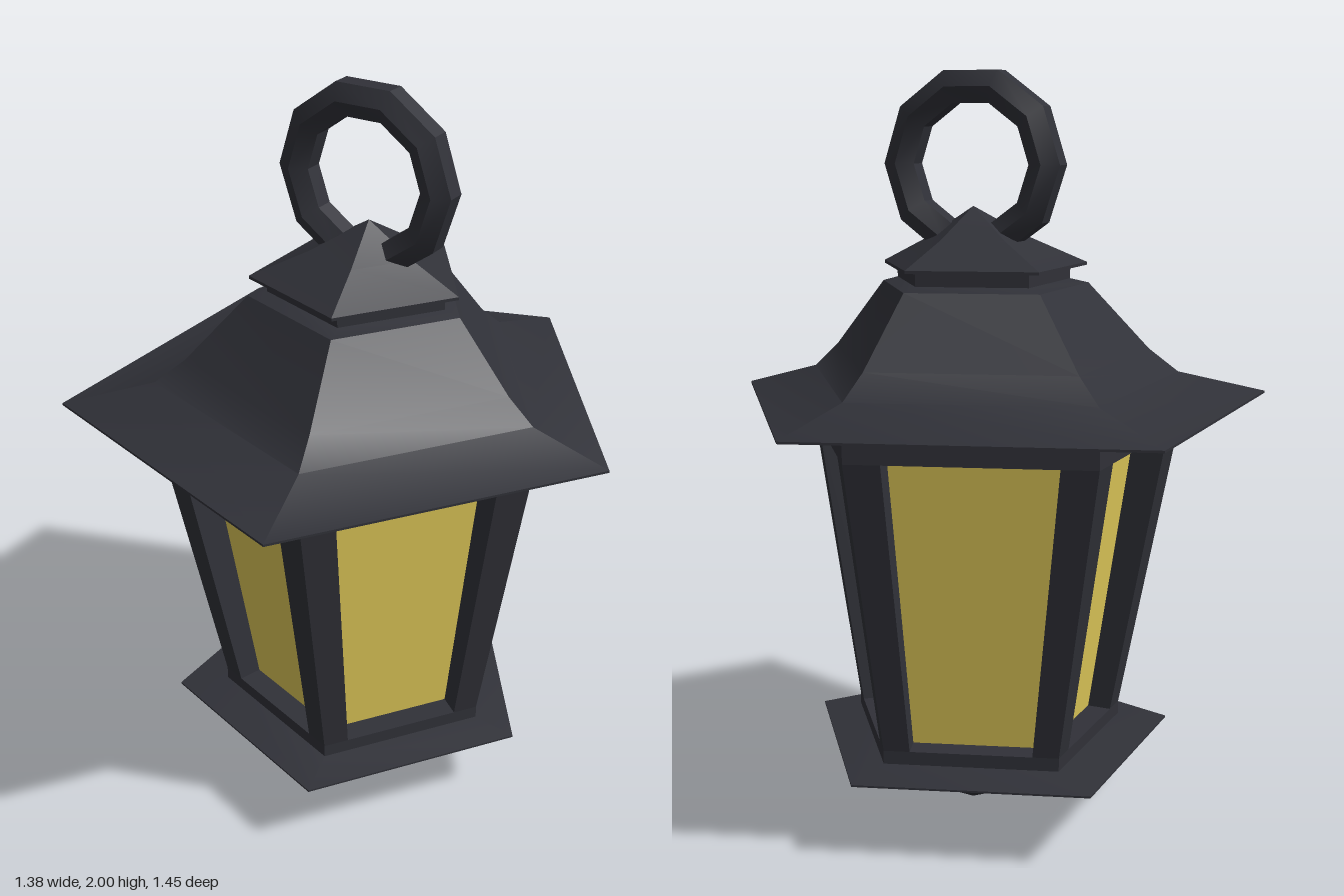
import * as THREE from 'three';
import { toCreasedNormals } from 'three/addons/utils/BufferGeometryUtils.js';

const metal = new THREE.MeshStandardMaterial({ color: 0x303138 });
metal.name = 'darkMetal';
const glass = new THREE.MeshStandardMaterial({ color: 0xe0c959 });
glass.name = 'amberGlass';

const SIDES = 5;
const CREASE = Math.PI / 6;
// each pentagon is shifted so that its width is centred
const shift = (r) => -0.01 - 0.083 * r;

function addMesh(group, name, geometry, material) {
  const mesh = new THREE.Mesh(geometry, material);
  mesh.name = name;
  group.add(mesh);
  return mesh;
}

// five-sided solid from a profile of [radius, height], bottom to top
function pentagonSolid(profile) {
  const points = profile.map(([r, y]) => new THREE.Vector2(r, y));
  const geo = new THREE.LatheGeometry(points, SIDES, Math.PI / 2);
  const pos = geo.attributes.position;
  for (let i = 0; i < pos.count; i++) {
    const r = Math.hypot(pos.getX(i), pos.getZ(i));
    pos.setX(i, pos.getX(i) + shift(r));
  }
  return toCreasedNormals(geo, CREASE);
}

// flat-shaded geometry from a list of four-cornered faces
function quadGeometry(quads) {
  const coords = [];
  for (const [a, b, c, d] of quads) {
    for (const p of [a, b, c, a, c, d]) coords.push(p.x, p.y, p.z);
  }
  const geo = new THREE.BufferGeometry();
  geo.setAttribute('position', new THREE.Float32BufferAttribute(coords, 3));
  geo.computeVertexNormals();
  return geo;
}

// heights and radii of the lantern body
const Y = { base: 0.22, sill: 0.26, head: 1.05, top: 1.1 };
const R_LOW = 0.39, R_HIGH = 0.535;

// point on a side: u runs left to right seen from outside, depth goes inward
function sidePoint(side, u, y, r, depth = 0) {
  const step = (Math.PI * 2) / SIDES;
  const corner = (k) => new THREE.Vector3(r * Math.cos(k * step) + shift(r), y, r * Math.sin(k * step));
  const mid = (side + 0.5) * step;
  const p = corner(side + 1).lerp(corner(side), u);
  return p.add(new THREE.Vector3(-Math.cos(mid) * depth, 0, -Math.sin(mid) * depth));
}

// four corners of a panel spanning sill to head
function panel(side, u, depthLow = 0, depthHigh = 0) {
  return [
    sidePoint(side, u, Y.sill, R_LOW, depthLow),
    sidePoint(side, 1 - u, Y.sill, R_LOW, depthLow),
    sidePoint(side, 1 - u, Y.head, R_HIGH, depthHigh),
    sidePoint(side, u, Y.head, R_HIGH, depthHigh),
  ];
}

const bridge = (a, b, k) => [a[k], a[(k + 1) % 4], b[(k + 1) % 4], b[k]];

function rail(side, y0, y1, r) {
  return [
    sidePoint(side, 0, y0, r), sidePoint(side, 1, y0, r),
    sidePoint(side, 1, y1, r), sidePoint(side, 0, y1, r),
  ];
}

export function createModel() {
  const lantern = new THREE.Group();
  lantern.name = 'lantern';

  // pointed base with a flared plate
  addMesh(lantern, 'base', pentagonSolid([
    [0, 0], [0.12, 0.062], [0.215, 0.108], [0.52, 0.203], [0.52, 0.208], [0.385, 0.225],
  ]), metal);

  // flared roof, neck and pointed cap
  addMesh(lantern, 'roof', pentagonSolid([
    [0.5, 1.1], [0.763, 1.137], [0.763, 1.143], [0.53, 1.203], [0.452, 1.268],
    [0.292, 1.45], [0.24, 1.463],
  ]), metal);
  addMesh(lantern, 'neck', pentagonSolid([[0.245, 1.45], [0.245, 1.5]]), metal);
  addMesh(lantern, 'cap', pentagonSolid([
    [0.24, 1.495], [0.287, 1.497], [0.287, 1.505], [0.14, 1.573], [0, 1.655],
  ]), metal);

  // framed sides with recessed panes
  for (let side = 0; side < SIDES; side++) {
    const wall = new THREE.Group();
    wall.name = `side${side + 1}`;
    const outer = panel(side, 0);
    const opening = panel(side, 0.15);
    const pane = panel(side, 0.15, 0.065, 0.095);
    const frame = [
      rail(side, Y.base, Y.sill, R_LOW),
      rail(side, Y.head, Y.top, R_HIGH),
      bridge(outer, opening, 1), // stiles
      bridge(outer, opening, 3),
    ];
    for (let k = 0; k < 4; k++) frame.push(bridge(opening, pane, k)); // reveals
    addMesh(wall, 'windowFrame', quadGeometry(frame), metal);
    addMesh(wall, 'windowPane', quadGeometry([pane]), glass);
    lantern.add(wall);
  }

  // ten-sided hanging ring with a hexagonal section
  const section = [];
  for (let i = 0; i <= 6; i++) {
    const a = Math.PI / 6 + (i * Math.PI) / 3;
    section.push(new THREE.Vector2(0.207 + 0.05 * Math.cos(a), 0.05 * Math.sin(a)));
  }
  const ringGeo = new THREE.LatheGeometry(section, 10, Math.PI / 2).rotateX(Math.PI / 2);
  const ring = addMesh(lantern, 'hangingRing', toCreasedNormals(ringGeo, CREASE), metal);
  ring.position.set(-0.012, 1.763, 0);

  return lantern;
}
